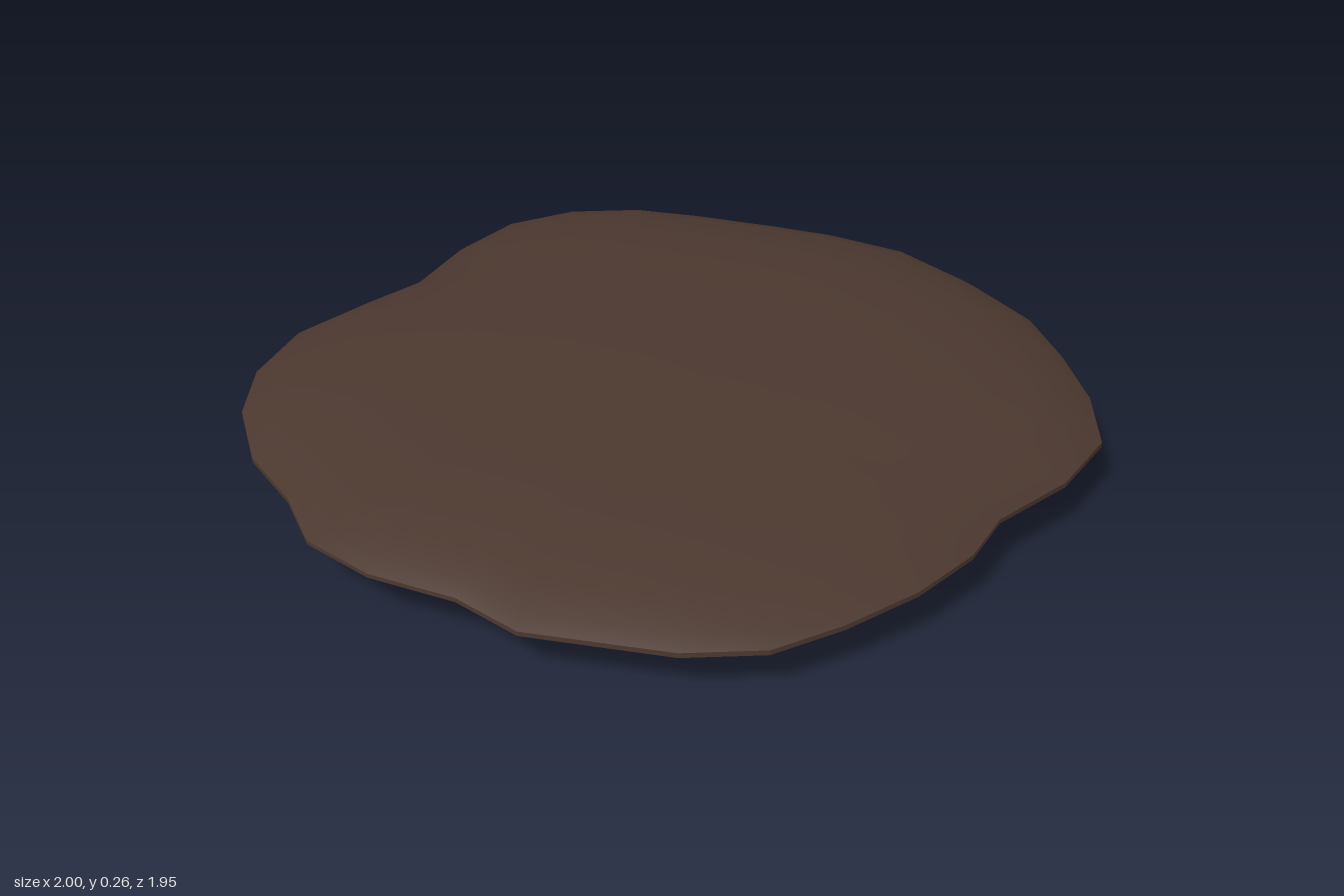
import * as THREE from 'three';
import { toCreasedNormals } from 'three/addons/utils/BufferGeometryUtils.js';

// Rim outline of the slab as [x, z], counterclockwise seen from above
const OUTLINE = [
  [0.99, -0.06], [0.96, -0.25], [0.86, -0.45], [0.73, -0.63], [0.55, -0.75], [0.4, -0.82],
  [0.19, -0.91], [0.02, -0.97], [-0.17, -0.98], [-0.35, -0.92], [-0.48, -0.79], [-0.6, -0.6],
  [-0.74, -0.5], [-0.89, -0.38], [-0.98, -0.2], [-1, -0.02], [-0.96, 0.18], [-0.87, 0.35],
  [-0.82, 0.51], [-0.69, 0.64], [-0.51, 0.74], [-0.39, 0.86], [-0.08, 0.96], [0.1, 0.97],
  [0.26, 0.91], [0.43, 0.82], [0.57, 0.71], [0.66, 0.59], [0.84, 0.47], [0.97, 0.32], [1, 0.13],
];

// Rings from centre to rim: [fraction of the outline, share of the full thickness]
const RINGS = [[0.25, 0.99], [0.5, 0.93], [0.7, 0.79], [0.86, 0.55], [0.96, 0.28], [1, 0.07]];

const rimHeight = (x, z) => 0.137 - 0.018 * z;
// Gently tilted upper face, highest towards the back
const topHeight = (x, z) => 0.243 - 0.045 * z + 0.012 * x;
// Underside, deepest just in front of the middle and cut away at the front
const bottomHeight = (x, z) =>
  0.008 - 0.035 * z + 0.05 * x * x + 0.055 * THREE.MathUtils.smoothstep(z, 0.33, 0.6);

function slabGeometry() {
  const n = OUTLINE.length;
  const positions = [];
  const index = [];
  const addRing = ([t, share], face) => {
    for (const [ox, oz] of OUTLINE) {
      // Inner rings relax towards a circle
      const round = (1 - t) * 0.7;
      const s = t * THREE.MathUtils.lerp(1, 0.97 / Math.hypot(ox, oz), round);
      const x = ox * s, z = oz * s;
      const y = THREE.MathUtils.lerp(rimHeight(x, z), face(x, z), share);
      positions.push(x, Math.max(0, y), z);
    }
  };

  // Top centre, rings down over the rim, bottom centre
  positions.push(0, topHeight(0, 0), 0);
  RINGS.forEach((ring) => addRing(ring, topHeight));
  [...RINGS].reverse().forEach((ring) => addRing(ring, bottomHeight));
  positions.push(0, bottomHeight(0, 0), 0);

  const rows = RINGS.length * 2;
  const last = 1 + rows * n;
  const at = (k, i) => 1 + k * n + (i % n);
  for (let i = 0; i < n; i++) {
    index.push(0, at(0, i), at(0, i + 1));
    for (let k = 0; k < rows - 1; k++) {
      const a = at(k, i), b = at(k + 1, i), c = at(k + 1, i + 1), d = at(k, i + 1);
      index.push(a, b, c, a, c, d);
    }
    index.push(at(rows - 1, i), last, at(rows - 1, i + 1));
  }

  const geometry = new THREE.BufferGeometry();
  geometry.setAttribute('position', new THREE.Float32BufferAttribute(positions, 3));
  geometry.setIndex(index);
  return toCreasedNormals(geometry, 0.35);
}

export function createModel() {
  const darkBrown = new THREE.MeshStandardMaterial({ color: 0x4b382f });
  darkBrown.name = 'darkBrown';

  const group = new THREE.Group();
  group.name = 'flatStone';
  const slab = new THREE.Mesh(slabGeometry(), darkBrown);
  slab.name = 'stoneSlab';
  group.add(slab);
  return group;
}
